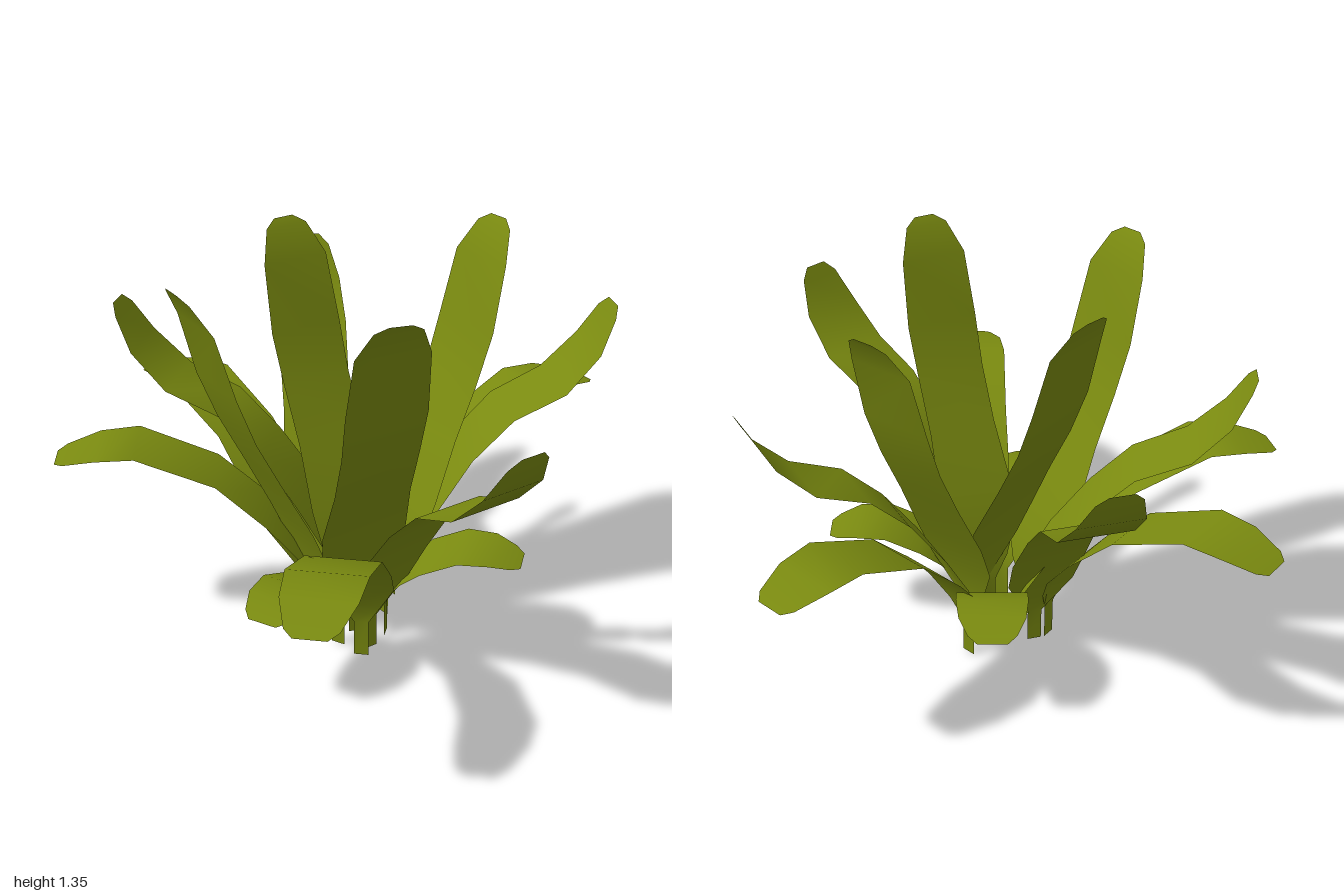
import * as THREE from 'three';

const leafGreen = new THREE.MeshStandardMaterial({ color: 0x7a8a10, side: THREE.DoubleSide });
leafGreen.name = 'leafGreen';

// Each leaf type: rows of [distance back from the tip, height, width], from tip to foot
const types = {
  tallLeaf: {
    rows: [[0, 1.345, 0.07], [0.02, 1.32, 0.15], [0.075, 1.22, 0.235], [0.135, 1.0, 0.26],
      [0.2, 0.83, 0.25], [0.29, 0.65, 0.25], [0.39, 0.45, 0.28], [0.45, 0.31, 0.26],
      [0.485, 0.2, 0.16], [0.5, 0.12, 0.05], [0.5, 0, 0.05]],
    // [tip x, tip z, direction x, direction z]
    places: [[0.49, 0.01, 1, -0.1], [-0.31, 0.575, -0.32, 0.95], [-0.72, -0.02, -1, -0.02], [-0.1, -0.39, 0.03, -1]],
  },
  midLeaf: {
    rows: [[0, 1.075, 0.08], [0.02, 1.04, 0.15], [0.08, 0.93, 0.22], [0.2, 0.81, 0.25],
      [0.38, 0.735, 0.24], [0.52, 0.6, 0.23], [0.65, 0.42, 0.25], [0.73, 0.28, 0.23],
      [0.77, 0.19, 0.14], [0.79, 0.12, 0.05], [0.79, 0, 0.05]],
    places: [[-0.165, 1, 0, 1], [0.27, -0.825, 0.5, -0.86], [0.76, 0.3, 0.94, 0.33], [-0.59, -0.665, -0.66, -0.75]],
  },
  archingLeaf: {
    rows: [[0, 0.63, 0.1], [0.03, 0.64, 0.16], [0.14, 0.67, 0.23], [0.27, 0.68, 0.25],
      [0.53, 0.57, 0.24], [0.69, 0.42, 0.25], [0.78, 0.31, 0.24], [0.83, 0.21, 0.14],
      [0.85, 0.13, 0.05], [0.85, 0, 0.05]],
    places: [[-0.295, -1, -0.13, -0.99], [0.94, -0.03, 1, 0], [-0.805, 0.845, -0.69, 0.72], [-0.92, -0.53, -0.84, -0.54]],
  },
  lowLeaf: {
    rows: [[0, 0.345, 0.1], [0.03, 0.355, 0.16], [0.1, 0.375, 0.22], [0.2, 0.375, 0.24],
      [0.32, 0.32, 0.24], [0.39, 0.26, 0.2], [0.44, 0.19, 0.13], [0.46, 0.12, 0.05], [0.46, 0, 0.05]],
    places: [[0.24, 0.505, 0.68, 0.73], [0.33, -0.375, 0.72, -0.7], [-0.655, 0.33, -0.9, 0.44]],
  },
};

// Flat ribbon leaf pointing along +z, tip at z = 0
function leafGeometry(rows) {
  const points = [], index = [];
  rows.forEach(([back, y, width], i) => {
    points.push(-width / 2, y, -back, width / 2, y, -back);
    if (i > 0) {
      const a = (i - 1) * 2;
      index.push(a, a + 2, a + 1, a + 1, a + 2, a + 3);
    }
  });
  // Winding above faces the lower side; reverse so the inner side is the front
  index.reverse();
  const geometry = new THREE.BufferGeometry();
  geometry.setAttribute('position', new THREE.Float32BufferAttribute(points, 3));
  geometry.setIndex(index);
  geometry.computeVertexNormals();
  return geometry;
}

export function createModel() {
  const plant = new THREE.Group();
  plant.name = 'leafRosette';
  for (const [name, { rows, places }] of Object.entries(types)) {
    const geometry = leafGeometry(rows);
    places.forEach(([x, z, dx, dz], i) => {
      const leaf = new THREE.Mesh(geometry, leafGreen);
      leaf.name = `${name}${i + 1}`;
      leaf.position.set(x, 0, z);
      leaf.rotation.y = Math.atan2(dx, dz);
      plant.add(leaf);
    });
  }
  return plant;
}
